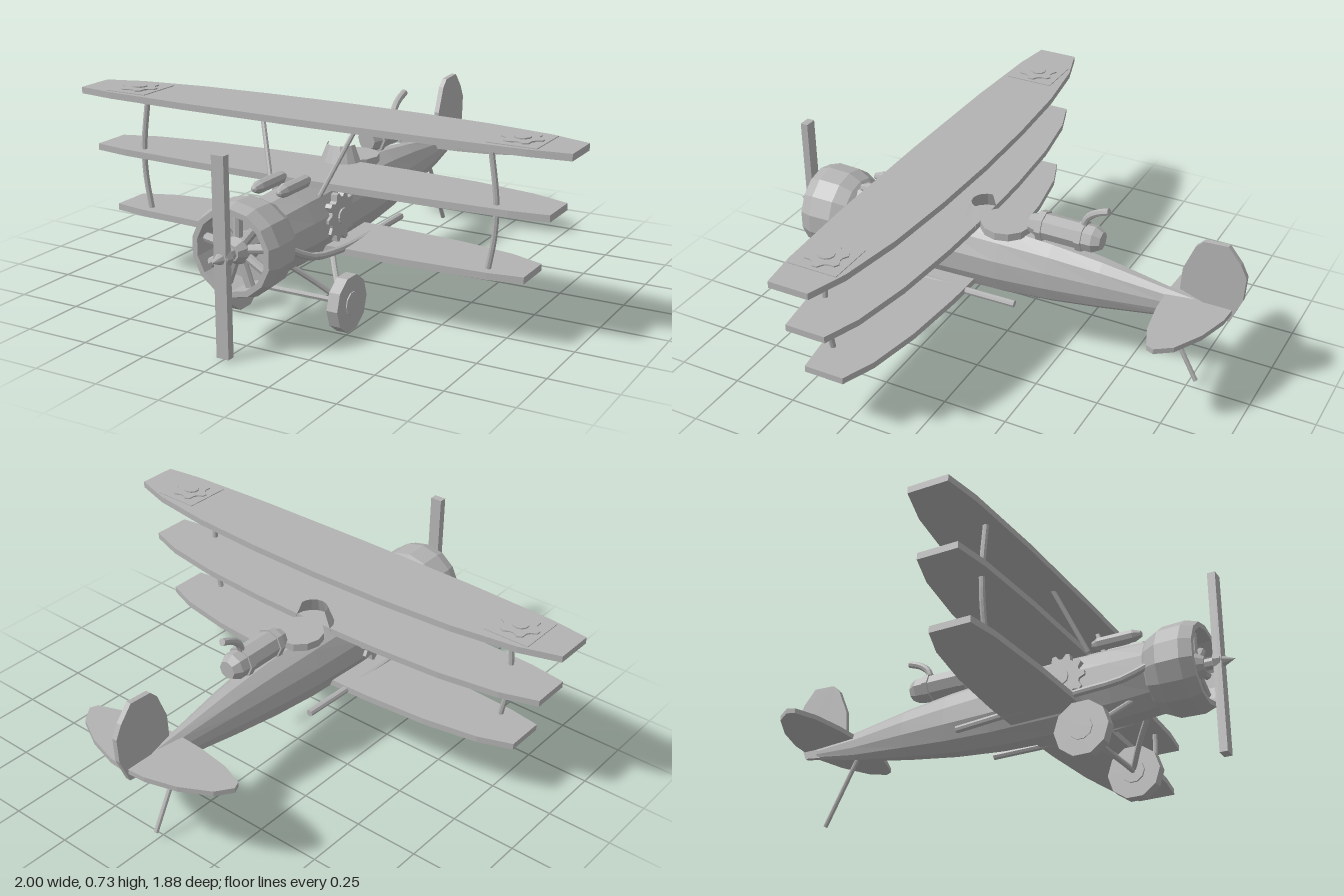
import * as THREE from 'three';

const paint = new THREE.MeshStandardMaterial({ color: 0xb2b2b2 });
paint.name = 'plain grey';
const both = new THREE.MeshStandardMaterial({ color: 0xb2b2b2, side: THREE.DoubleSide });
both.name = 'plain grey two sided';

const V = (x, y, z) => new THREE.Vector3(x, y, z);

export function createModel() {
  const root = new THREE.Group();
  root.name = 'triplane';

  // Adds a faceted mesh
  function add(name, geo, x = 0, y = 0, z = 0, mat = paint) {
    const g = geo.index ? geo.toNonIndexed() : geo;
    g.computeVertexNormals();
    const m = new THREE.Mesh(g, mat);
    m.name = name;
    m.position.set(x, y, z);
    root.add(m);
    return m;
  }
  const box = (name, w, h, d, x, y, z) => add(name, new THREE.BoxGeometry(w, h, d), x, y, z);

  // Straight round bar between two points
  function rod(name, a, b, r, r2 = r, sides = 8) {
    const m = add(name, new THREE.CylinderGeometry(r2, r, a.distanceTo(b), sides));
    m.position.copy(a).add(b).multiplyScalar(0.5);
    m.quaternion.setFromUnitVectors(V(0, 1, 0), b.clone().sub(a).normalize());
  }
  // Bent bar through points, with closed ends
  function pipe(name, pts, r, steps = 10) {
    add(name, new THREE.TubeGeometry(new THREE.CatmullRomCurve3(pts), steps, r, 8));
    for (const [p, q] of [[pts[0], pts[1]], [pts[pts.length - 1], pts[pts.length - 2]]]) {
      const dir = p.clone().sub(q).normalize();
      const cap = add(name + 'End', new THREE.CircleGeometry(r, 8));
      cap.position.copy(p);
      cap.quaternion.setFromUnitVectors(V(0, 0, 1), dir);
    }
  }
  // Turned part along z, profile given as [radius, z]
  const turned = (name, profile, sides, x, y, z, mat) => add(name,
    new THREE.LatheGeometry(profile.map(p => new THREE.Vector2(...p)), sides).rotateX(Math.PI / 2), x, y, z, mat);

  const shapeOf = pts => new THREE.Shape(pts.map(p => new THREE.Vector2(...p)));
  const extrude = (shape, depth) => new THREE.ExtrudeGeometry(shape, { depth, bevelEnabled: false });
  // Flat symmetrical surface from a half outline of [x, z]
  function surface(name, half, top, thick) {
    const mirror = half.filter(p => p[0] > 0).map(([x, z]) => [-x, z]).reverse();
    add(name, extrude(shapeOf([...half, ...mirror]), thick).rotateX(Math.PI / 2), 0, top, 0);
  }
  // Toothed wheel outline
  function gearShape(teeth, outer, inner) {
    const pts = [], n = teeth * 4;
    for (let i = 0; i < n; i++) {
      const a = (i - 0.5) / n * Math.PI * 2, r = i % 4 < 2 ? outer : inner;
      pts.push([Math.cos(a) * r, Math.sin(a) * r]);
    }
    return shapeOf(pts);
  }

  // Fuselage lofted from oval sections: z, bottom, top, half width
  const sections = [
    [-0.84, 0.365, 0.365, 0], [-0.84, 0.34, 0.39, 0.012], [-0.65, 0.295, 0.415, 0.035],
    [-0.4, 0.255, 0.455, 0.068], [-0.2, 0.228, 0.478, 0.09], [0, 0.212, 0.492, 0.108],
    [0.25, 0.208, 0.5, 0.122], [0.5, 0.21, 0.498, 0.127], [0.66, 0.225, 0.49, 0.125], [0.66, 0.36, 0.36, 0],
  ];
  const N = 12, pos = [], idx = [];
  sections.forEach(([z, lo, hi, w], i) => {
    for (let j = 0; j < N; j++) {
      const a = (j + 0.5) / N * Math.PI * 2;
      pos.push(Math.cos(a) * w * 1.03, (lo + hi) / 2 + Math.sin(a) * (hi - lo) / 2 * 1.03, z);
      if (i === sections.length - 1) continue;
      const p = i * N + j, q = i * N + (j + 1) % N;
      idx.push(p, q, q + N, p, q + N, p + N);
    }
  });
  const hull = new THREE.BufferGeometry();
  hull.setAttribute('position', new THREE.Float32BufferAttribute(pos, 3));
  hull.setIndex(idx);
  add('fuselage', hull);

  // Cowling with open mouth and radial engine
  turned('cowling', [[0.12, 0.63], [0.143, 0.65], [0.167, 0.7], [0.17, 0.79], [0.155, 0.835],
    [0.135, 0.835], [0.132, 0.72], [0, 0.72]], 14, 0, 0.365, 0, both);
  turned('engineHub', [[0, 0.72], [0.05, 0.72], [0.05, 0.8], [0.03, 0.83], [0, 0.83]], 10, 0, 0.365, 0);
  for (let i = 0; i < 9; i++) {
    const a = Math.PI / 2 + i / 9 * Math.PI * 2, c = Math.cos(a), s = Math.sin(a);
    rod('engineCylinder', V(c * 0.04, 0.365 + s * 0.04, 0.785), V(c * 0.135, 0.365 + s * 0.135, 0.785), 0.017);
  }

  // Propeller and spinner
  box('propeller', 0.048, 0.705, 0.03, 0, 0.363, 0.88);
  turned('spinner', [[0, 0.82], [0.022, 0.82], [0.022, 0.86], [0.036, 0.865], [0.03, 0.89],
    [0.02, 0.895], [0, 0.94]], 8, 0, 0.363, 0);

  // Three wings: half span, top height, thickness
  const wingHalf = [[0, 0.09], [0.3, 0.096], [0.6, 0.115], [0.85, 0.152], [1, 0.2],
    [1, 0.355], [0.85, 0.375], [0.5, 0.39], [0, 0.395]];
  for (const [name, span, top] of [['topWing', 1, 0.726], ['middleWing', 0.932, 0.51], ['lowerWing', 0.848, 0.28]])
    surface(name, wingHalf.map(([x, z]) => [x * span, z]), top, 0.025);

  // Tail
  surface('tailplane', [[0, -0.65], [0.12, -0.655], [0.25, -0.675], [0.34, -0.71], [0.352, -0.74],
    [0.31, -0.8], [0.2, -0.86], [0.08, -0.895], [0, -0.9]], 0.4, 0.02);
  add('fin', extrude(shapeOf([[-0.79, 0.4], [-0.7, 0.43], [-0.705, 0.52], [-0.745, 0.62], [-0.775, 0.65],
    [-0.865, 0.655], [-0.915, 0.595], [-0.94, 0.545], [-0.935, 0.45], [-0.895, 0.35], [-0.825, 0.34]]), 0.02)
    .rotateY(-Math.PI / 2), 0.01);
  rod('tailSkid', V(0, 0.31, -0.64), V(0, 0.04, -0.785), 0.009);

  // Cockpit cover and curved windscreen
  add('cockpitCover', new THREE.CylinderGeometry(0.098, 0.098, 0.03, 12), 0, 0.496, 0.003);
  const screen = new THREE.CylinderGeometry(0.055, 0.085, 0.075, 8, 1, true, -Math.PI / 2, Math.PI);
  add('windscreen', screen, 0, 0.535, 0.09, both);

  // Rear tank with bands and outlet pipe
  turned('tank', [[0, -0.39], [0.035, -0.39], [0.052, -0.36], [0.052, -0.15], [0.035, -0.1], [0, -0.1]], 8, 0, 0.535, 0);
  for (const z of [-0.15, -0.31])
    turned('tankBand', [[0.05, -0.012], [0.059, -0.012], [0.059, 0.012], [0.05, 0.012]], 8, 0, 0.535, z);
  pipe('tankPipe', [V(0, 0.57, -0.31), V(0, 0.615, -0.325), V(0, 0.645, -0.36), V(0, 0.665, -0.41)], 0.014);

  for (const s of [1, -1]) {
    // Long capsules ahead of the cockpit
    turned('topCapsule', [[0, 0.41], [0.012, 0.415], [0.024, 0.44], [0.024, 0.58], [0.012, 0.61], [0, 0.615]], 8, s * 0.05, 0.521, 0);

    // Wing struts
    pipe('wingStrut', [V(s * 0.705, 0.27, 0.33), V(s * 0.727, 0.4, 0.33), V(s * 0.73, 0.52, 0.33), V(s * 0.705, 0.71, 0.33)], 0.011);
    rod('cabaneStrut', V(s * 0.1, 0.47, 0.42), V(s * 0.195, 0.71, 0.325), 0.009);

    // Exhaust along the flank
    pipe('exhaust', [V(s * 0.125, 0.35, 0.67), V(s * 0.155, 0.3, 0.57), V(s * 0.172, 0.28, 0.42),
      V(s * 0.165, 0.268, 0.2), V(s * 0.145, 0.256, -0.105)], 0.014, 14);

    // Side gear with hub
    add('sideGear', extrude(gearShape(10, 0.093, 0.073), 0.025).rotateY(Math.PI / 2), s * 0.123 - 0.0125, 0.375, 0.325);
    rod('sideGearHub', V(s * 0.12, 0.375, 0.325), V(s * 0.142, 0.375, 0.325), 0.03, 0.03, 10);

    // Gear emblem plates on the top wing
    box('emblemPlate', 0.18, 0.004, 0.19, s * 0.79, 0.727, 0.265);
    add('emblemGear', extrude(gearShape(6, 0.075, 0.058), 0.006).rotateX(-Math.PI / 2), s * 0.79, 0.728, 0.265);
    add('emblemHub', new THREE.CylinderGeometry(0.03, 0.03, 0.006, 10), s * 0.79, 0.736, 0.265);

    // Wheel and its legs
    rod('wheel', V(s * 0.203, 0.105, 0.45), V(s * 0.246, 0.105, 0.45), 0.105, 0.105, 10);
    rod('wheelHub', V(s * 0.196, 0.105, 0.45), V(s * 0.25, 0.105, 0.45), 0.045, 0.045, 10);
    for (const z of [0.57, 0.29])
      pipe('wheelLeg', [V(s * 0.07, 0.25, z), V(s * 0.13, 0.185, (z + 0.45) / 2), V(s * 0.2, 0.11, 0.45)], 0.011, 6);
  }
  rod('axle', V(-0.21, 0.105, 0.45), V(0.21, 0.105, 0.45), 0.009);

  return root;
}
